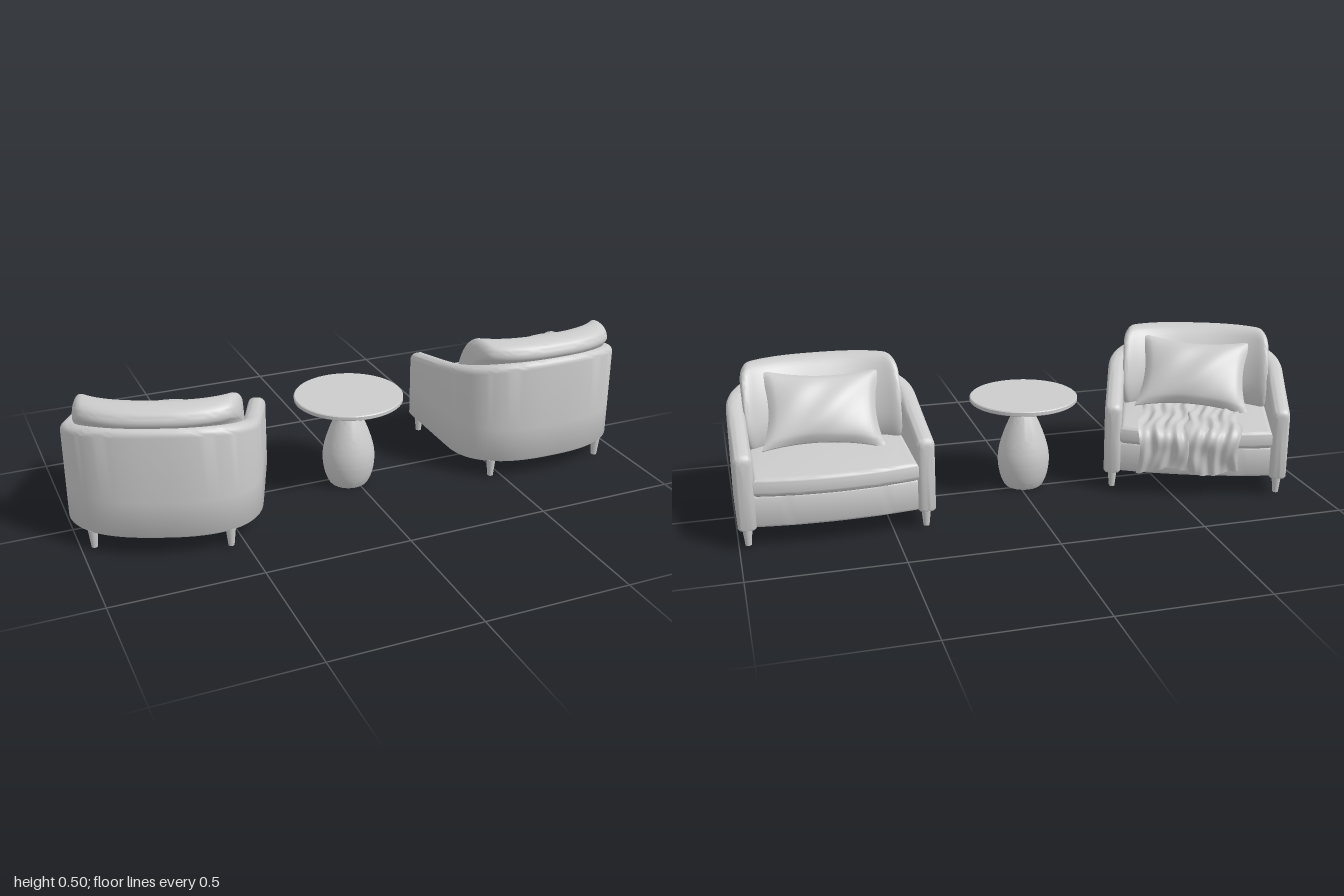
import * as THREE from 'three';
import { toCreasedNormals } from 'three/addons/utils/BufferGeometryUtils.js';

const material = new THREE.MeshStandardMaterial({ color: 0xcccccc });
const clothMaterial = new THREE.MeshStandardMaterial({ color: 0xcccccc, side: THREE.DoubleSide });

function part(name, geometry, parent, mat = material) {
  const mesh = new THREE.Mesh(geometry, mat);
  mesh.name = name;
  parent.add(mesh);
  return mesh;
}

// Closed loft through equal-length rings of [x, y, z], capped at both ends
function loft(rings) {
  const n = rings[0].length, m = rings.length;
  const pos = rings.flat(2), index = [];
  for (let i = 0; i < m - 1; i++) {
    for (let j = 0; j < n; j++) {
      const k = (j + 1) % n, a = i * n + j, b = i * n + k;
      index.push(a, a + n, b, b, a + n, b + n);
    }
  }
  for (const end of [0, m - 1]) {
    const centre = [0, 1, 2].map(c => rings[end].reduce((s, p) => s + p[c], 0) / n);
    const id = pos.length / 3;
    pos.push(...centre);
    for (let j = 0; j < n; j++) {
      const a = end * n + j, b = end * n + (j + 1) % n;
      if (end === 0) index.push(id, a, b); else index.push(id, b, a);
    }
  }
  const g = new THREE.BufferGeometry();
  g.setAttribute('position', new THREE.Float32BufferAttribute(pos, 3));
  g.setIndex(index);
  return toCreasedNormals(g, 0.75);
}

// Plan curve of the chair's back: rounded-square arc, o = offset from the wall's middle
const ARC_Z = 0.035, POWER = 2.5, TIP = -0.283;
function backArc(t, o) {
  const c = Math.cos(t), s = Math.max(0, Math.sin(t));
  return [-(0.29 + o) * Math.sign(c) * Math.abs(c) ** (2 / POWER), ARC_Z + (0.195 + o) * s ** (2 / POWER)];
}

// Wraparound arms and back, rising from the arm tips to the back
function shellGeometry() {
  const r = 0.02, stations = [];
  const arm = [0, 0.002, 0.006, 0.012, 0.02, 0.07, 0.12, 0.17, 0.22, 0.27];
  for (const d of arm) stations.push({ d, at: o => [-0.29 - o, TIP + d] });
  for (let i = 0; i <= 44; i++) stations.push({ d: 1, at: o => backArc(Math.PI * i / 44, o) });
  for (const d of [...arm].reverse()) stations.push({ d, at: o => [0.29 + o, TIP + d] });

  return loft(stations.map(({ d, at }) => {
    const shrink = d < r ? r - Math.sqrt(r * r - (r - d) ** 2) : 0;
    const w = 0.03 - shrink, c = Math.min(0.025, w * 0.85);
    const u = (at(0.03)[1] - TIP) / 0.545;
    const top = 0.316 + 0.126 * (u - 0.05 * Math.sin(Math.PI * u)) - shrink;
    const low = 0.065 + shrink * 0.3;
    const side = [[w - 0.006, low], [w, low + 0.007], [w, 0.19]];
    for (let k = 0; k <= 5; k++) {
      const a = k / 5 * Math.PI / 2;
      side.push([w - c + c * Math.cos(a), top - c + c * Math.sin(a)]);
    }
    const section = [...side, ...side.map(([o, y]) => [-o, y]).reverse()];
    return section.map(([o, y]) => { const [x, z] = at(o); return [x, y, z]; });
  }));
}

// Leaning back cushion that rolls over the top of the shell
function backCushionGeometry() {
  const half = 0.265, rings = [];
  const profile = new THREE.CatmullRomCurve3([
    [-0.06, 0.22], [-0.035, 0.34], [-0.02, 0.425], [0, 0.455], [-0.012, 0.485], [-0.05, 0.5],
    [-0.1, 0.495], [-0.14, 0.45], [-0.18, 0.37], [-0.2, 0.28], [-0.18, 0.22],
  ].map(([z, y]) => new THREE.Vector3(0, y, z)), true, 'centripetal').getPoints(44).slice(0, -1);
  for (let i = 0; i <= 40; i++) {
    const x = -half * Math.cos(Math.PI * i / 40);
    const zBack = ARC_Z + 0.215 * (1 - Math.abs(x / 0.3) ** POWER) ** (1 / POWER);
    // soft rounded ends
    const e = Math.min(1, (half - Math.abs(x)) / 0.035);
    const s = 0.62 + 0.38 * Math.sqrt(Math.max(0, 1 - (1 - e) ** 2));
    rings.push(profile.map(p => [x, 0.37 + (p.y - 0.37) * s, zBack - 0.09 + (p.z + 0.09) * s]));
  }
  return loft(rings);
}

// Seat slab with a bowed front edge and a rounded back
function seatSlab(halfWidth, front, bow, back, low, high, bevel) {
  const w = halfWidth - bevel, f = -front - bevel, b = -back + bevel;
  const s = new THREE.Shape();
  s.moveTo(-w, f);
  s.lineTo(-w, -0.05);
  s.bezierCurveTo(-w, b * 0.75, -w * 0.75, b, 0, b);
  s.bezierCurveTo(w * 0.75, b, w, b * 0.75, w, -0.05);
  s.lineTo(w, f);
  s.quadraticCurveTo(0, f + bow * 2, -w, f);
  const g = new THREE.ExtrudeGeometry(s, {
    depth: high - low - 2 * bevel, bevelSize: bevel, bevelThickness: bevel, bevelSegments: 5, curveSegments: 20,
  });
  g.rotateX(-Math.PI / 2).translate(0, low + bevel, 0);
  return toCreasedNormals(g, 0.7);
}

// Plump square pillow with pinched sides and pointed corners
function pillowGeometry(w, h, depth) {
  const g = new THREE.BoxGeometry(2, 2, 2, 24, 20, 1), p = g.attributes.position;
  for (let i = 0; i < p.count; i++) {
    const u = p.getX(i), v = p.getY(i);
    const bulge = ((1 - u * u) * (1 - v * v)) ** 0.5;
    const crease = 0.004 * Math.sin(7 * u + 4 * v) * bulge;
    p.setXYZ(i, u * w / 2 * (1 - 0.13 * (1 - v * v)), v * h / 2 * (1 - 0.18 * (1 - u * u)),
      p.getZ(i) * (0.003 + depth / 2 * bulge) + crease);
  }
  g.computeVertexNormals();
  return g;
}

// Rumpled throw laid over the seat and hanging down its front
function throwGeometry() {
  const path = new THREE.CatmullRomCurve3([
    [0.03, 0.247], [-0.1, 0.247], [-0.25, 0.247], [-0.305, 0.241], [-0.326, 0.215], [-0.325, 0.16], [-0.318, 0.095],
  ].map(([z, y]) => new THREE.Vector3(0, y, z)), false, 'centripetal');
  const g = new THREE.PlaneGeometry(1, 1, 60, 50), p = g.attributes.position;
  for (let i = 0; i < p.count; i++) {
    const u = p.getX(i), v = 0.5 - p.getY(i);
    const c = path.getPointAt(v), t = path.getTangentAt(v);
    const fold = 0.004 * Math.sin(u * 34 + 5 * v) + 0.003 * Math.sin(u * 61 - 9 * v + 1) + 0.002 * Math.sin(23 * v + 14 * u);
    const wave = 0.007 * Math.sin(v * 13) * (u > 0 ? 1 : -1);
    p.setXYZ(i, 0.02 + u * 0.35 + wave + 0.015 * (v - 0.5),
      c.y - t.z * fold + 0.012 * v ** 6 * Math.sin(u * 9), c.z + t.y * fold);
  }
  g.computeVertexNormals();
  return g;
}

function armchair(name) {
  const chair = new THREE.Group();
  chair.name = name;
  part('armsAndBack', shellGeometry(), chair);
  part('backCushion', backCushionGeometry(), chair);
  part('seatBase', seatSlab(0.268, -0.268, 0.02, 0.225, 0.07, 0.178, 0.008), chair);
  part('seatCushion', seatSlab(0.264, -0.283, 0.026, 0.17, 0.176, 0.24, 0.018), chair);
  for (const side of [-1, 1]) {
    for (const [x, z, label] of [[0.29, -0.245, 'frontLeg'], [0.22, 0.2, 'backLeg']]) {
      part(label, new THREE.CylinderGeometry(0.017, 0.01, 0.065, 20), chair).position.set(side * x, 0.0375, z);
    }
  }
  const pillow = part('pillow', pillowGeometry(0.41, 0.29, 0.1), chair);
  pillow.position.set(0.005, 0.355, 0.012);
  pillow.rotation.set(0.68, 0, 0.06);
  return chair;
}

function sideTable() {
  const table = new THREE.Group();
  table.name = 'sideTable';
  // vase-shaped pedestal
  const outline = new THREE.SplineCurve([
    [0.07, 0.006], [0.084, 0.04], [0.092, 0.09], [0.088, 0.14], [0.07, 0.2], [0.047, 0.255], [0.033, 0.282],
  ].map(p => new THREE.Vector2(...p))).getPoints(36);
  const points = [[0, 0], [0.064, 0]].map(p => new THREE.Vector2(...p)).concat(outline,
    [[0.027, 0.286], [0.027, 0.322], [0, 0.322]].map(p => new THREE.Vector2(...p)));
  part('pedestal', toCreasedNormals(new THREE.LatheGeometry(points, 48), 0.6), table);
  const top = [[0, 0.319], [0.186, 0.319], [0.19, 0.322], [0.19, 0.333], [0.187, 0.336], [0, 0.336]];
  part('tableTop', toCreasedNormals(new THREE.LatheGeometry(top.map(p => new THREE.Vector2(...p)), 64), 0.6), table);
  return table;
}

export function createModel() {
  const model = new THREE.Group();
  model.name = 'seatingSet';

  const leftChair = armchair('leftArmchair');
  leftChair.position.x = 0.68;

  const rightChair = armchair('rightArmchair');
  rightChair.position.set(-0.68, 0, 0.037);
  rightChair.rotation.y = -0.375;
  part('throwBlanket', throwGeometry(), rightChair, clothMaterial);

  const table = sideTable();
  table.position.set(-0.022, 0, 0.03);

  model.add(leftChair, rightChair, table);
  return model;
}
